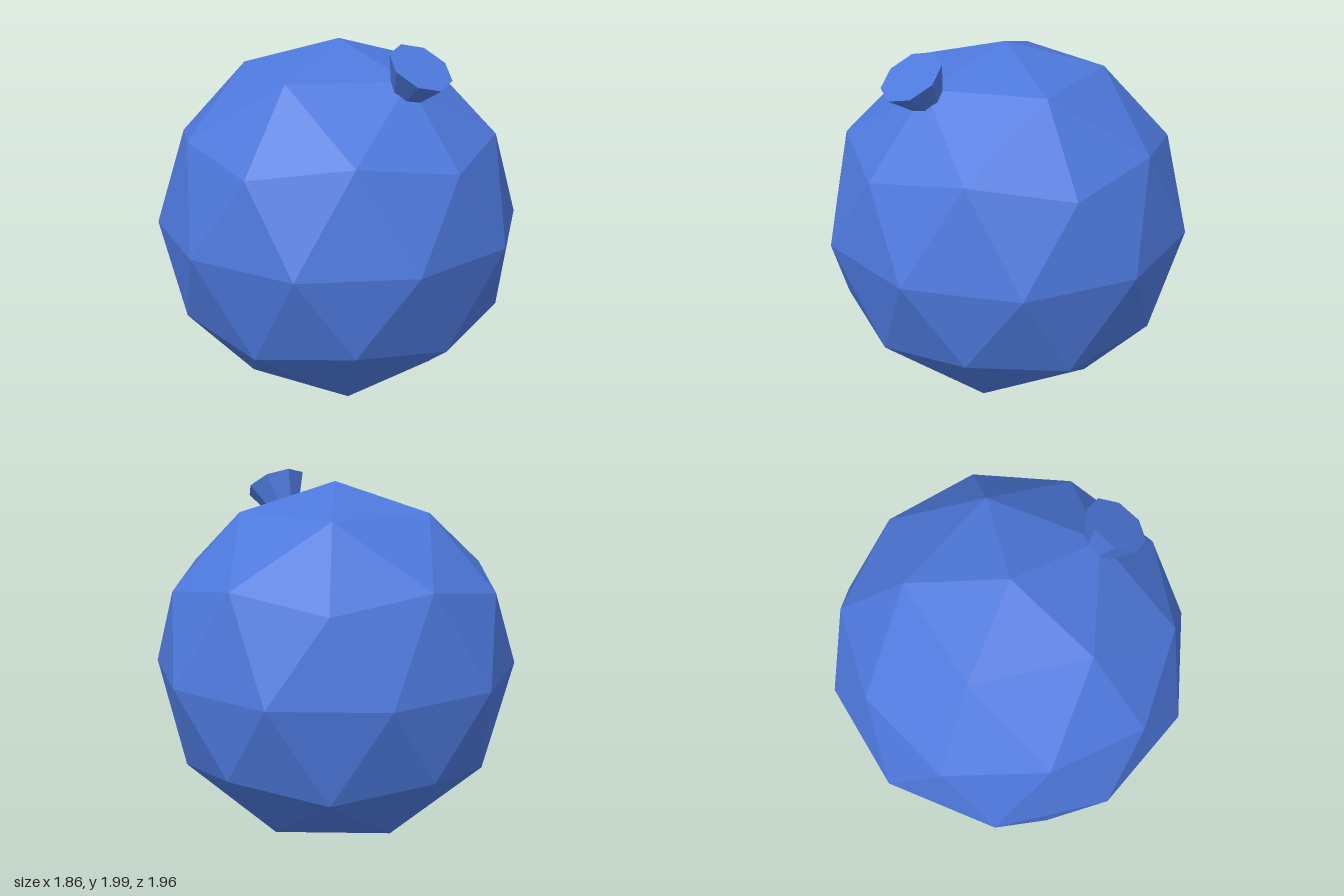
import * as THREE from 'three';

export function createModel() {
  const model = new THREE.Group();
  model.name = 'balloon';
  const material = new THREE.MeshStandardMaterial({ color: 0x4d78dc, flatShading: true });

  // Faceted body: icosphere turned so that one of its corners points straight up
  const radius = 0.98;
  const bodyGeometry = new THREE.IcosahedronGeometry(radius, 1);
  bodyGeometry.rotateZ(-Math.atan(2 / (1 + Math.sqrt(5))));
  const body = new THREE.Mesh(bodyGeometry, material);
  body.name = 'body';
  body.position.y = 0.988;
  model.add(body);

  // Tied neck: eight-sided cone, its tip sunk in the body and its flat end facing out
  const length = 0.34;
  const tilt = THREE.MathUtils.degToRad(34);
  const neckGeometry = new THREE.ConeGeometry(0.168, length, 8);
  neckGeometry.rotateX(Math.PI);
  neckGeometry.translate(0, -length / 2, 0);
  const neck = new THREE.Mesh(neckGeometry, material);
  neck.name = 'neck';
  neck.rotation.z = -tilt;
  neck.position.set(0.6, 1.905, 0);
  model.add(neck);

  return model;
}
